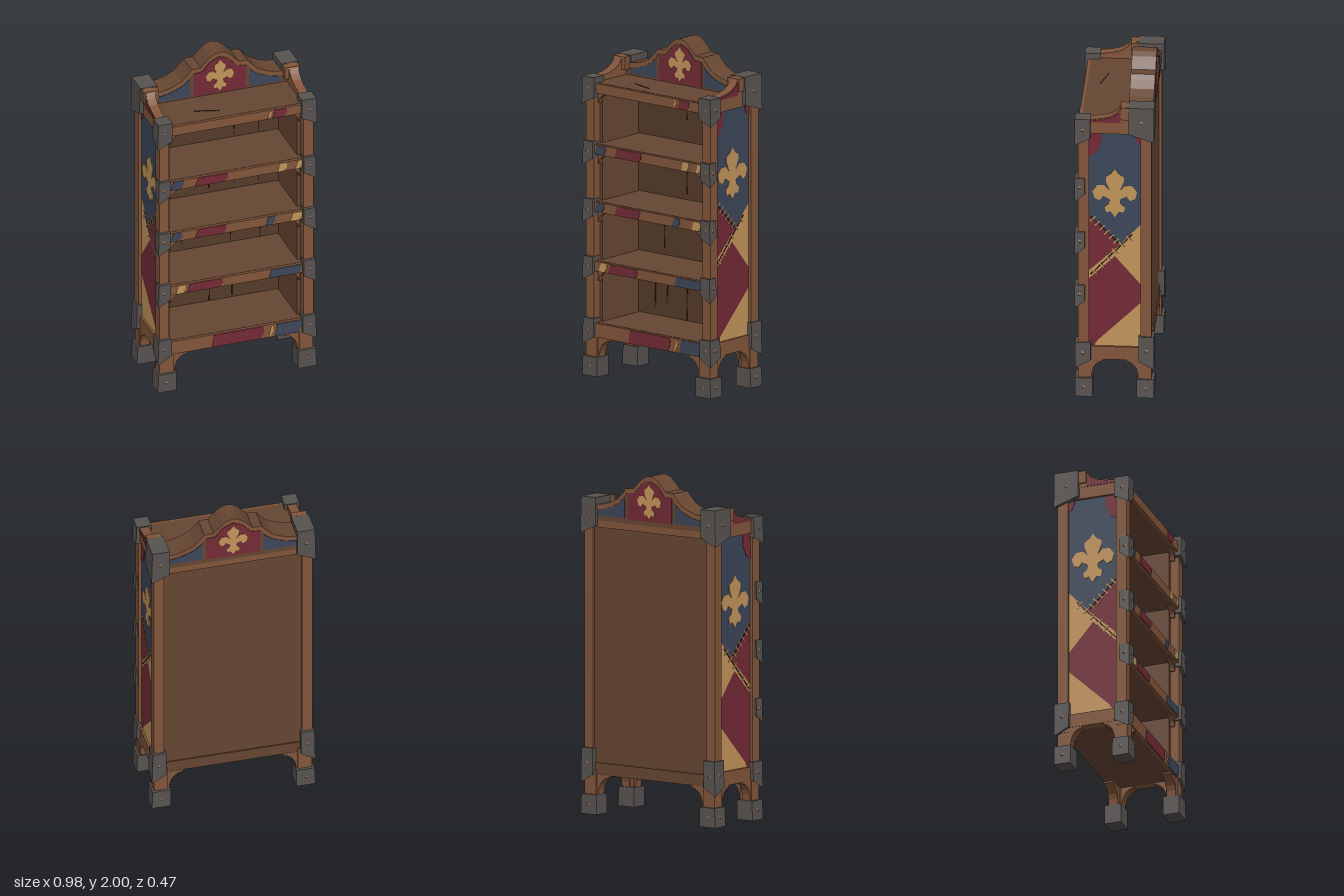
import * as THREE from 'three';

const mat = (name, color) => {
  const m = new THREE.MeshStandardMaterial({ color, side: THREE.DoubleSide });
  m.name = name;
  return m;
};

export function createModel() {
  const root = new THREE.Group();
  root.name = 'bookcase';
  const wood = mat('brown wood', 0x664632);
  const trim = mat('light wood trim', 0x82553a);
  const inner = mat('dark wood', 0x553b2b);
  const crack = mat('crack', 0x2a1c15);
  const metal = mat('iron', 0x565250);
  const red = mat('red paint', 0x732a36);
  const blue = mat('blue paint', 0x3c465a);
  const tan = mat('tan paint', 0xc2945a);

  const add = (name, geo, m) => {
    const mesh = new THREE.Mesh(geo, m);
    mesh.name = name;
    root.add(mesh);
    return mesh;
  };
  const box = (name, m, x0, x1, y0, y1, z0, z1) => {
    const mesh = add(name, new THREE.BoxGeometry(Math.abs(x1 - x0), y1 - y0, Math.abs(z1 - z0)), m);
    mesh.position.set((x0 + x1) / 2, (y0 + y1) / 2, (z0 + z1) / 2);
    return mesh;
  };
  const shapeOf = pts => new THREE.Shape(pts.map(p => new THREE.Vector2(p[0], p[1])));
  const extrude = (pts, depth) => new THREE.ExtrudeGeometry(shapeOf(pts), { depth, bevelEnabled: false });
  // Thin painted plate: u,v in the plane of a face, turned about y to that face
  const plate = (name, pts, m, off, angle = 0, flip = 1) => {
    const mesh = add(name, extrude(pts.map(([u, v]) => [u * flip, v]), 0.003), m);
    mesh.geometry.translate(0, 0, off);
    mesh.rotation.y = angle;
    return mesh;
  };
  const strip = (a, b, w) => {
    const l = Math.hypot(b[0] - a[0], b[1] - a[1]);
    const nx = -(b[1] - a[1]) / l * w / 2, ny = (b[0] - a[0]) / l * w / 2;
    return [[a[0] + nx, a[1] + ny], [b[0] + nx, b[1] + ny], [b[0] - nx, b[1] - ny], [a[0] - nx, a[1] - ny]];
  };
  // Iron cap around a post: outer corner at (sx, sz), with inner lower edges lifted
  const cap = (name, sx, sz, x0, x1, y0, y1, z0, z1, lift) => {
    const mesh = box(name, metal, sx * x0, sx * x1, y0, y1, sz * z0, sz * z1);
    const p = mesh.geometry.attributes.position;
    for (let i = 0; i < p.count; i++) {
      const inX = p.getX(i) * sx < 0, inZ = p.getZ(i) * sz < 0, low = p.getY(i) < 0;
      if (low && (inX || inZ)) p.setY(i, p.getY(i) + lift);
      if (!low && !inX) p.setX(i, p.getX(i) - sx * 0.008);
      if (low && !inX) p.setX(i, p.getX(i) - sx * 0.003);
    }
    mesh.geometry = mesh.geometry.toNonIndexed();
    mesh.geometry.computeVertexNormals();
    // rivets on the outward faces
    const y = (y0 + y1) / 2 + lift * 0.3;
    const rivet = (x, z, ry) => {
      const r = add('rivet', new THREE.ConeGeometry(0.011, 0.008, 6).rotateX(Math.PI / 2), trim);
      r.position.set(x, y, z);
      r.rotation.y = ry;
    };
    rivet(sx * (x0 + x1) / 2, sz * (z1 + 0.003), sz > 0 ? 0 : Math.PI);
    rivet(sx * (x1 - 0.002), sz * (z0 + z1) / 2, sx * Math.PI / 2);
  };
  // Concave corner brace; runs along local +x and hangs below its origin
  const brace = (x, y, z, ry, w, h, depth) => {
    const s = new THREE.Shape();
    s.moveTo(0, 0);
    s.lineTo(w, 0);
    s.lineTo(w, -h * 0.1);
    s.quadraticCurveTo(w * 0.15, -h * 0.2, w * 0.1, -h);
    s.lineTo(0, -h);
    const g = new THREE.ExtrudeGeometry(s, { depth, bevelEnabled: false, curveSegments: 5 });
    g.translate(0, 0, -depth / 2);
    const mesh = add('cornerBrace', g, trim);
    mesh.position.set(x, y, z);
    mesh.rotation.y = ry;
  };
  // Lily ornament from a mirrored half outline
  const half = [[0, 1], [0.14, 0.8], [0.33, 0.68], [0.33, 0.5], [0.19, 0.14], [0.38, 0.33], [0.65, 0.32], [0.82, 0.08],
    [0.74, -0.2], [0.55, -0.28], [0.42, -0.1], [0.17, -0.24], [0.22, -0.42], [0.38, -0.55], [0.32, -0.75], [0.15, -0.72], [0, -0.95]];
  const lily = (cy, s, off, angle) => {
    const all = [...half, ...half.slice(1, -1).reverse().map(([x, y]) => [-x, y])];
    plate('lilyOrnament', all.map(([x, y]) => [x * s, cy + y * s]), tan, off, angle);
  };

  // Back board, its frame and plank cracks
  box('backBoard', wood, -0.41, 0.41, 0.235, 1.73, -0.195, -0.175);
  box('backInside', inner, -0.4, 0.4, 0.24, 1.72, -0.175, -0.168);
  box('backTopRail', trim, -0.41, 0.41, 1.67, 1.74, -0.208, -0.17);
  box('backBottomRail', wood, -0.41, 0.41, 0.23, 0.3, -0.203, -0.17);
  for (const [x, y0, y1] of [[-0.27, 0.36, 0.6], [-0.18, 0.4, 0.56], [-0.03, 0.32, 0.62], [0.11, 0.33, 0.62], [0.24, 0.42, 0.62],
    [-0.2, 0.72, 0.94], [0.1, 0.69, 0.96], [0.28, 0.68, 0.96], [-0.03, 1.06, 1.3], [0.12, 1.06, 1.3],
    [0.27, 1.05, 1.31], [-0.03, 1.5, 1.65], [0.12, 1.38, 1.47], [0.27, 1.38, 1.62]])
    plate('plankCrack', strip([x, y0], [x + 0.004, y1], 0.006), crack, -0.168);

  // Shelves: [bottom, top, painted patches as paint, left, right]
  const shelves = [
    [0.23, 0.315, [[red, -0.15, 0.17], [tan, 0.2, 0.225], [blue, 0.235, 0.4]]],
    [0.62, 0.68, [[tan, -0.37, -0.31], [red, -0.3, -0.08], [blue, 0.2, 0.4]]],
    [0.97, 1.03, [[blue, -0.4, -0.33], [red, -0.25, -0.06], [blue, 0.18, 0.24], [tan, 0.33, 0.4]]],
    [1.31, 1.37, [[blue, -0.4, -0.32], [red, -0.25, -0.05], [tan, 0.25, 0.31], [tan, 0.36, 0.4]]],
    [1.67, 1.73, [[tan, 0.19, 0.215], [red, 0.22, 0.31]]],
  ];
  shelves.forEach(([y0, y1, paint], i) => {
    box('shelf', wood, -0.41, 0.41, y0, y1, -0.17, 0.195);
    box('shelfFrontTrim', trim, -0.41, 0.41, y0, y1 - 0.002, 0.195, 0.212);
    for (const [m, a, b] of paint)
      plate('shelfPaint', [[a, y0 + 0.003], [b - 0.02, y0 + 0.003], [b, (y0 + y1) / 2], [b - 0.005, y1 - 0.005], [a + 0.015, y1 - 0.005]], m, 0.212);
    if (i) for (const s of [-1, 1]) brace(s * 0.395, y0, 0.18, s > 0 ? Math.PI : 0, 0.06, 0.06, 0.03);
  });
  plate('topScratch', strip([-0.21, -0.08], [-0.07, -0.12], 0.004), crack, 0).rotation.x = -Math.PI / 2;
  root.children.at(-1).position.y = 1.73;

  for (const s of [-1, 1]) {
    // Posts, legs and iron caps
    for (const f of [-1, 1]) {
      const top = f > 0 ? 1.75 : 1.83;
      box('post', trim, s * 0.41, s * 0.47, 0.2, top, f * 0.148, f * 0.212);
      box('leg', trim, s * 0.385, s * 0.468, 0.08, 0.26, f * 0.142, f * 0.212);
      cap('footCap', s, f, 0.372, 0.488, 0, 0.115, 0.128, 0.228, 0);
      cap('lowerCap', s, f, 0.4, 0.487, 0.18, f > 0 ? 0.34 : 0.385, 0.138, 0.228, 0.05);
      brace(s * 0.386, 0.232, f * 0.177, s > 0 ? Math.PI : 0, 0.09, 0.12, 0.055);
      brace(s * 0.435, 0.232, f * 0.143, f > 0 ? Math.PI / 2 : -Math.PI / 2, 0.075, 0.12, 0.055);
    }
    cap('frontTopCap', s, 1, 0.395, 0.49, 1.6, 1.765, 0.14, 0.23, 0.045);
    cap('rearTopCap', s, -1, 0.378, 0.49, 1.63, 1.845, 0.08, 0.228, 0.05);
    for (const y of [0.56, 0.9, 1.24]) cap('shelfCap', s, 1, 0.405, 0.485, y, y + 0.145, 0.172, 0.23, 0.045);

    // Side panel with rails
    box('sidePanel', wood, s * 0.39, s * 0.448, 0.24, 1.72, -0.16, 0.16);
    box('sideBottomRail', trim, s * 0.41, s * 0.464, 0.23, 0.312, -0.15, 0.15);
    box('sideTopRail', trim, s * 0.41, s * 0.464, 1.67, 1.745, -0.15, 0.15);

    // Curved wing rising to the rear post
    const wing = [[0.15, 1.74], [0.15, 1.757], [0.07, 1.768], [0.02, 1.782], [-0.015, 1.805], [-0.035, 1.835], [-0.09, 1.845], [-0.09, 1.74]];
    const ang = s * Math.PI / 2;
    const g = extrude(wing.map(([z, y]) => [-s * z, y]), 0.055);
    g.translate(0, 0, 0.41);
    add('sideWing', g, trim).rotation.y = ang;
    box('wingPad', trim, s * 0.385, s * 0.475, 1.765, 1.84, -0.035, -0.09);
    const side = (name, pts, m, off = 0.448) => plate(name, pts, m, off, ang, -s);
    side('wingPaint', [[0.14, 1.742], [0.14, 1.753], [0.07, 1.761], [0.015, 1.777], [-0.02, 1.805], [-0.034, 1.822], [-0.034, 1.742]], red, 0.465);

    // Painted fields of the side panel
    side('upperField', [[0.148, 1.668], [-0.148, 1.668], [-0.148, 1.09], [-0.03, 0.96], [0.148, 1.15]], blue);
    side('frontCornerField', [[0.148, 1.668], [0.075, 1.668], [0.08, 1.6], [0.11, 1.54], [0.148, 1.52]], red, 0.451);
    side('rearCornerField', [[-0.11, 1.668], [-0.148, 1.668], [-0.148, 1.6], [-0.125, 1.62]], red, 0.451);
    side('middleField', [[0.148, 1.15], [-0.03, 0.96], [0.0, 0.93], [0.148, 0.79]], red);
    side('tanField', [[-0.03, 0.96], [-0.148, 1.09], [-0.148, 0.71], [0.0, 0.885], [0.148, 0.74], [0.148, 0.79], [0, 0.93]], tan);
    side('lowerField', [[0.148, 0.74], [0.0, 0.885], [-0.148, 0.71], [-0.148, 0.59], [0.1, 0.345], [0.12, 0.312], [0.148, 0.312]], red);
    side('bottomField', [[-0.148, 0.59], [0.1, 0.345], [0.12, 0.312], [-0.148, 0.312]], tan);
    lily(1.285, 0.158, 0.452, ang);

    // Stitched seams
    for (const [a, b] of [[[0.14, 1.135], [-0.02, 0.97]], [[0.14, 0.765], [-0.1, 1.025]]]) {
      side('seam', strip(a, b, 0.007), crack, 0.451);
      for (let i = 0; i < 6; i++) {
        const t = (i + 0.5) / 6, z = a[0] + (b[0] - a[0]) * t, y = a[1] + (b[1] - a[1]) * t, k = Math.sign(b[1] - a[1]);
        side('stitch', strip([z - 0.016, y - 0.016 * k], [z + 0.016, y + 0.016 * k], 0.008), tan, 0.453);
      }
    }
  }

  // Crest board with a stepped, domed outline
  const crestHalf = [[0, 2], [0.03, 1.994], [0.06, 1.975], [0.085, 1.95], [0.115, 1.918], [0.17, 1.915], [0.19, 1.89],
    [0.23, 1.85], [0.28, 1.825], [0.33, 1.81], [0.41, 1.8], [0.41, 1.71]];
  const crest = extrude([...crestHalf, ...crestHalf.slice(1).reverse().map(([x, y]) => [-x, y])], 0.135);
  add('crest', crest.translate(0, 0, -0.21), wood);
  for (const [ang, off] of [[0, -0.075], [Math.PI, 0.21]]) {
    const rim = crestHalf.slice(0, -1);
    const band = [...rim, ...rim.slice().reverse().map(([x, y]) => [x * 0.97, y - 0.026])];
    for (const f of [-1, 1]) {
      plate('crestRim', band, trim, off, ang, f);
      plate('crestSideField', [[0.18, 1.74], [0.18, 1.855], [0.23, 1.815], [0.29, 1.79], [0.375, 1.77], [0.375, 1.74]], blue, off, ang, f);
    }
    const field = [[0.16, 1.735], [0.16, 1.885], [0.105, 1.89], [0.06, 1.945], [0, 1.97]];
    plate('crestField', [...field, ...field.slice(0, -1).reverse().map(([x, y]) => [-x, y])], red, off, ang);
    lily(1.848, 0.105, off + 0.004, ang);
  }
  return root;
}
